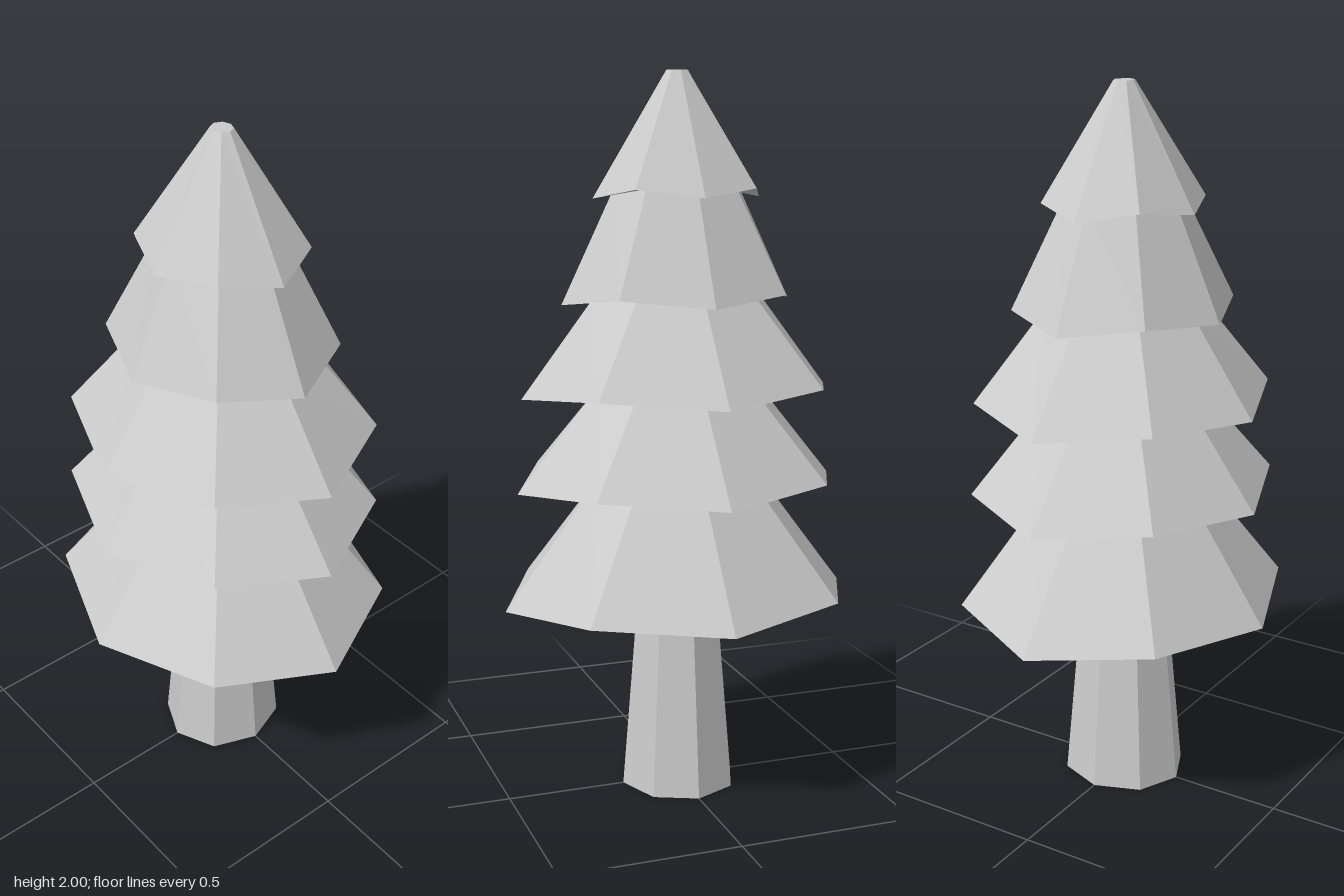
import * as THREE from 'three';

const SIDES = 8;
const DEPTH = 0.895;      // the crown is slightly narrower front to back
const RIM_LIFT = 0.027;   // diagonal corners of each rim sit higher

// Each tier: rim radius, rim height, top radius, top height
const TIERS = [
  [0.50, 0.545, 0.235, 0.895],
  [0.46, 0.872, 0.225, 1.16],
  [0.445, 1.132, 0.235, 1.405],
  [0.33, 1.382, 0.18, 1.69],
  [0.24, 1.663, 0.031, 2.0],
];

export function createModel() {
  const tree = new THREE.Group();
  tree.name = 'tree';
  const material = new THREE.MeshStandardMaterial({ color: 0xcccccc, flatShading: true });

  // Tapered trunk, its top tucked into the lowest tier
  const trunkGeometry = new THREE.CylinderGeometry(0.116, 0.165, 0.58, SIDES);
  trunkGeometry.translate(0, 0.29, 0).scale(1, 1, 1.09);
  const trunk = new THREE.Mesh(trunkGeometry, material);
  trunk.name = 'trunk';
  tree.add(trunk);

  // Skirt-like branch tiers, each with a sloping underside
  let innerRadius = 0.1;
  let innerY = 0.573;
  TIERS.forEach(([rim, rimY, top, topY], i) => {
    const profile = [[innerRadius, innerY], [rim, rimY], [top, topY]];
    if (i === TIERS.length - 1) profile.push([0, topY]); // blunt tip
    const geometry = new THREE.LatheGeometry(profile.map(([r, y]) => new THREE.Vector2(r, y)), SIDES);

    // Raise every second rim corner for a scalloped edge
    const position = geometry.attributes.position;
    for (let side = 0; side <= SIDES; side++) {
      const corner = side * profile.length + 1;
      if (side % 2) position.setY(corner, rimY + RIM_LIFT);
      else if (side % 4 === 0) position.setY(corner, rimY + 0.005);
    }
    geometry.scale(1, 1, DEPTH);
    geometry.computeVertexNormals();

    const tier = new THREE.Mesh(geometry, material);
    tier.name = `branchTier${i + 1}`;
    tree.add(tier);
    innerRadius = top;
    innerY = topY;
  });

  return tree;
}
